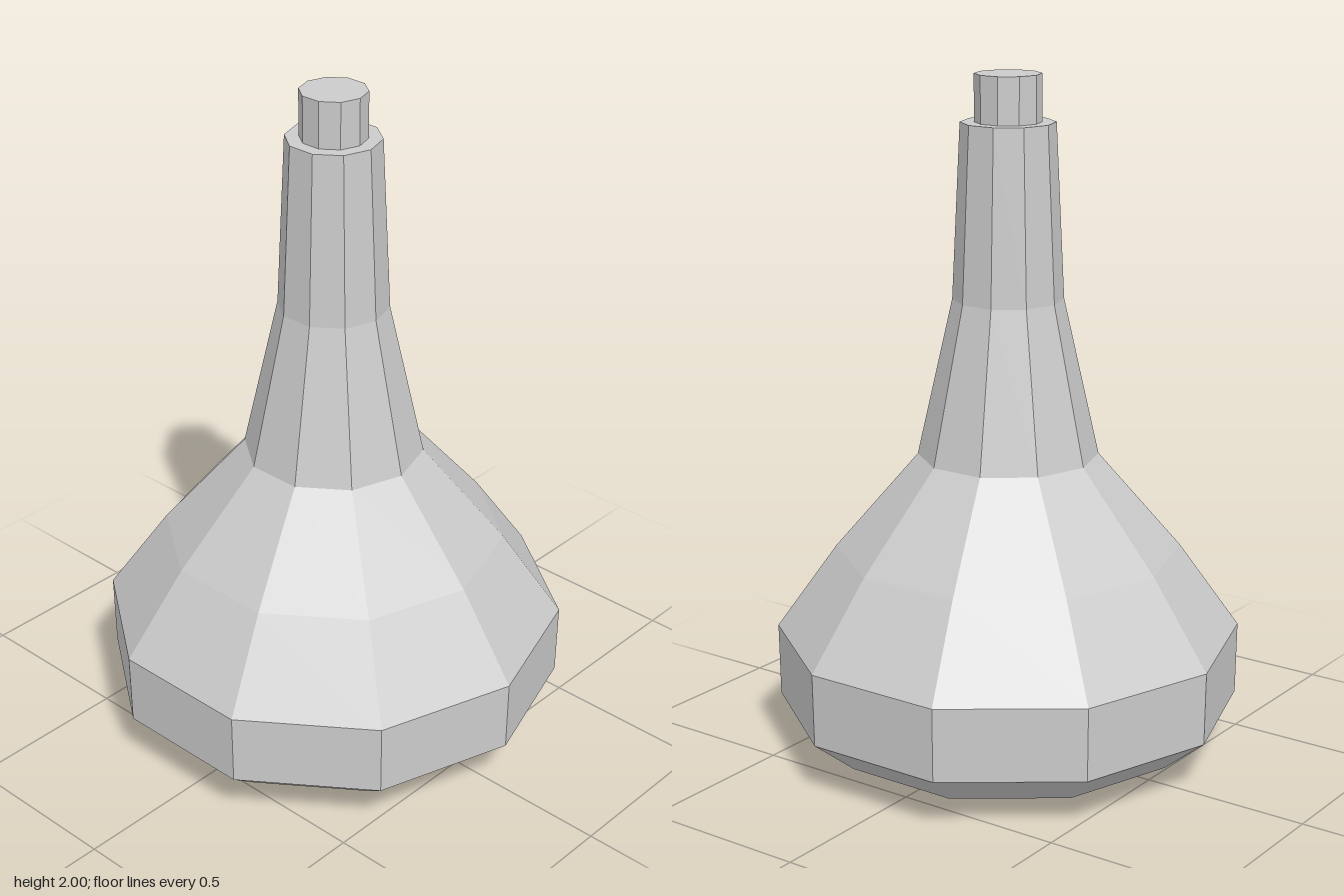
import * as THREE from 'three';

const SIDES = 10;

// Profiles as [radius, height], from bottom to top; corners point along +z and -z
const PARTS = {
  base: [[0, 0], [0.55, 0.05], [0.68, 0.155], [0.683, 0.37]],
  shoulder: [[0.683, 0.37], [0.505, 0.62], [0.263, 0.9]],
  neck: [[0.263, 0.9], [0.16, 1.36], [0.136, 1.865], [0.096, 1.865]],
  topPeg: [[0.096, 1.865], [0.096, 2], [0, 2]],
};

export function createModel() {
  const model = new THREE.Group();
  model.name = 'taperedVessel';
  const material = new THREE.MeshStandardMaterial({ color: 0xcccccc, flatShading: true });

  // Each part is a ten-sided turned section, meeting the next one edge to edge
  for (const [name, profile] of Object.entries(PARTS)) {
    const points = profile.map(([r, y]) => new THREE.Vector2(r, y));
    const mesh = new THREE.Mesh(new THREE.LatheGeometry(points, SIDES), material);
    mesh.name = name;
    model.add(mesh);
  }
  return model;
}
